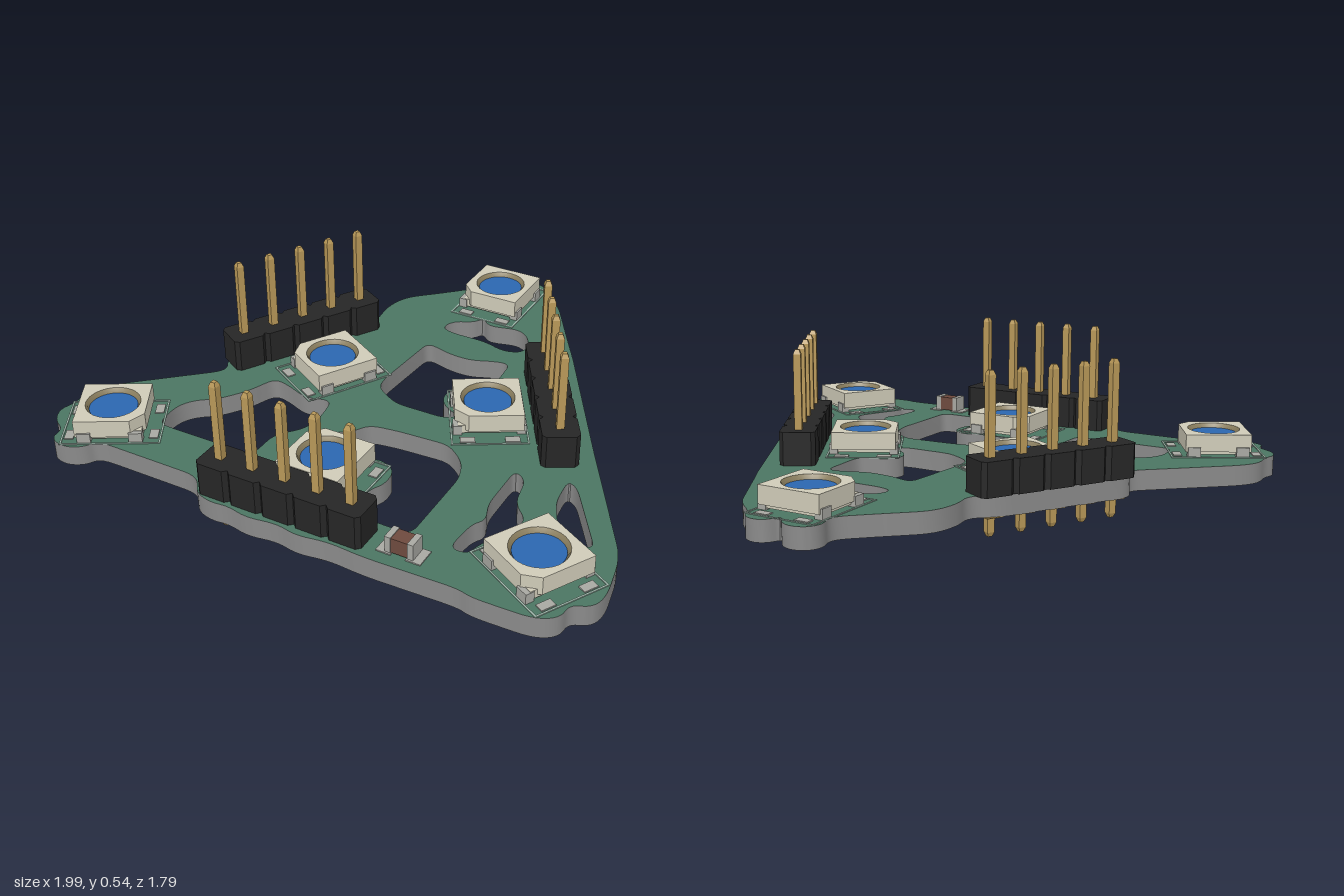
import * as THREE from 'three';
import { toCreasedNormals } from 'three/addons/utils/BufferGeometryUtils.js';

const mat = (color) => new THREE.MeshStandardMaterial({ color });
const M = {
  mask: mat(0x4b7562), edge: mat(0x8a8a8a), cream: mat(0xcfcbb8), rim: mat(0x8c8060), blue: mat(0x2b66b0),
  metal: mat(0xa8a8a2), black: mat(0x262626), gold: mat(0xb89858), brown: mat(0x6e4a3e), silk: mat(0x9db5a9),
};
const TOP = 0.142, THICK = 0.072;

// Board outline and cut-outs as x, z pairs
const OUTLINE = [
  0, -.84, -.03, -.89, -.08, -.91, -.13, -.89, -.15, -.84, -.12, -.77, -.2, -.69, -.35, -.55, -.37, -.44, -.35, -.35,
  -.43, -.29, -.56, -.06, -.69, .16, -.64, .22, -.95, .5, -.99, .57, -.98, .65, -1, .7, -.97, .76, -.91, .79, -.91, .85, -.84, .87,
  -.78, .84, -.76, .79, -.35, .79, -.31, .86, -.24, .88, -.18, .87, -.1, .89, 0, .87, .08, .89, .18, .87, .3, .88,
  .62, .87, .66, .885, .86, .88, .92, .84, .92, .78, .98, .76, 1, .7, .97, .52, .7, .06, .41, -.45, .36, -.53, .21, -.78,
  .13, -.84, .11, -.89, .06, -.91, .02, -.89,
];
const HOLES = [
  [0, -.555, .04, -.51, .16, -.54, .22, -.49, .24, -.4, .17, -.37, .08, -.4, -.06, -.4, -.11, -.42, -.09, -.48, -.02, -.51],
  [-.1, -.29, 0, -.26, .09, -.255, .17, -.29, .23, -.3, .24, -.12, .22, -.09, .14, -.07, .11, -.01, .14, .05, .22, .09,
    .18, .12, -.01, .12, -.11, .06, -.12, 0],
  [-.11, .45, -.12, .38, -.05, .34, -.02, .28, .08, .265, .27, .255, .35, .32, .38, .4, .38, .72, .16, .72, .16, .59, .19, .54,
    .18, .46, .11, .43, .06, .46],
  [-.46, .19, -.4, .2, -.3, .24, -.21, .21, -.19, .32, -.2, .4, -.27, .48, -.27, .61, -.65, .61, -.66, .5, -.63, .44, -.56, .39, -.5, .3],
  [.52, .28, .57, .31, .59, .43, .66, .5, .62, .59, .58, .67, .57, .72, .51, .72, .52, .59, .55, .55, .52, .48],
  [.69, .25, .73, .27, .89, .52, .83, .53, .75, .47, .7, .37],
];

function add(parent, name, geometry, material, x = 0, y = 0, z = 0) {
  const mesh = new THREE.Mesh(geometry, material);
  mesh.name = name;
  mesh.position.set(x, y, z);
  parent.add(mesh);
  return mesh;
}
const box = (w, h, d) => new THREE.BoxGeometry(w, h, d);

// Closed path whose corners are rounded by quadratic curves
function roundedPath(path, flat, radius) {
  const pts = [];
  for (let i = 0; i < flat.length; i += 2) pts.push(new THREE.Vector2(flat[i], flat[i + 1]));
  const n = pts.length;
  const toward = (a, b) => a.clone().lerp(b, Math.min(0.5, radius / a.distanceTo(b)));
  pts.forEach((p, i) => {
    const a = toward(p, pts[(i + n - 1) % n]), b = toward(p, pts[(i + 1) % n]);
    if (i === 0) path.moveTo(a.x, a.y); else path.lineTo(a.x, a.y);
    path.quadraticCurveTo(p.x, p.y, b.x, b.y);
  });
  path.closePath();
  return path;
}

// Plan shape in x, z extruded downwards from y = 0
function plate(shape, depth, curveSegments = 5) {
  const g = new THREE.ExtrudeGeometry(shape, { depth, bevelEnabled: false, curveSegments });
  g.rotateX(Math.PI / 2);
  return toCreasedNormals(g, 0.6);
}

function polygon(flat) {
  const s = new THREE.Shape();
  for (let i = 0; i < flat.length; i += 2) s[i ? 'lineTo' : 'moveTo'](flat[i], flat[i + 1]);
  s.closePath();
  return s;
}

// Square light with a round recessed lens, side contacts and a printed frame
function light(x, z, degrees) {
  const g = new THREE.Group();
  g.name = 'light';
  g.position.set(x, TOP, z);
  g.rotation.y = THREE.MathUtils.degToRad(degrees);
  const h = 0.115;
  const body = polygon([-h, -h, h, -h, h, h, -h + .045, h, -h, h - .045]);
  body.holes.push(new THREE.Path().absarc(0, 0, .092, 0, Math.PI * 2, true));
  add(g, 'lightBody', plate(body, .062, 16), M.cream, 0, .08, 0);
  add(g, 'lightBase', box(.21, .03, .21), M.cream, 0, .022, 0);
  const rim = new THREE.LatheGeometry([[.092, .08], [.08, .06], [.08, .045]].map((p) => new THREE.Vector2(...p)).reverse(), 32);
  const ring = add(g, 'lensRim', rim, M.rim.clone());
  ring.material.side = THREE.DoubleSide;
  add(g, 'lens', new THREE.CylinderGeometry(.081, .081, .03, 32), M.blue, 0, .05, 0);
  for (const sx of [-1, 1]) {
    for (const sz of [-1, 1]) {
      add(g, 'contact', box(.03, .035, .045), M.metal, sx * .107, .0175, sz * .085);
      add(g, 'solderPad', box(.05, .004, .03), M.metal, sx * .075, .002, sz * .14);
    }
    add(g, 'printedFrameSide', box(.006, .003, .33), M.silk, sx * .127, .0015, 0);
    add(g, 'printedFrameEnd', box(.26, .003, .006), M.silk, 0, .0015, sx * .163);
  }
  return g;
}

// Five-pin header made of chamfered blocks and square pins with tapered tips
function pinHeader(x, z, degrees) {
  const g = new THREE.Group();
  g.name = 'pinHeader';
  g.position.set(x, 0, z);
  g.rotation.y = THREE.MathUtils.degToRad(degrees);
  const p = .118, a = p / 2, b = .062, c = .014;
  const block = plate(polygon([-a + c, -b, a - c, -b, a, -b + c, a, b - c, a - c, b, -a + c, b, -a, b - c, -a, -b + c]), .117);
  const w = .013 * Math.SQRT2;
  const profile = [[0, 0], [w * .55, 0], [w, .015], [w, .523], [w * .55, .538], [0, .538]].map((q) => new THREE.Vector2(...q));
  const pin = toCreasedNormals(new THREE.LatheGeometry(profile, 4, Math.PI / 4), 0.2);
  for (let i = -2; i <= 2; i++) {
    add(g, 'headerBlock', block, M.black, i * p, .26, 0);
    add(g, 'pin', pin, M.gold, i * p, 0, 0);
    add(g, 'pinPad', box(.06, .003, .075), M.gold, i * p, TOP - THICK - .0005, 0);
  }
  return g;
}

export function createModel() {
  const model = new THREE.Group();
  model.name = 'circuitBoard';

  // Board with irregular openings
  const shape = roundedPath(new THREE.Shape(), OUTLINE, .06);
  HOLES.forEach((h) => shape.holes.push(roundedPath(new THREE.Path(), h, .04)));
  add(model, 'board', plate(shape, THICK), [M.mask, M.edge], 0, TOP, 0);

  // Six lights: x, z, turn
  [[-.005, -.705, 0], [-.305, .048, -30], [.305, .043, 30], [-.005, .578, -90], [-.78, .673, 120], [.78, .68, 60]]
    .forEach((l) => model.add(light(...l)));

  // One header along each side
  [[-.01, .8, 0], [-.508, -.075, 60], [.492, -.06, -60]].forEach((h) => model.add(pinHeader(...h)));

  // Small chip capacitor
  const cap = new THREE.Group();
  cap.name = 'capacitor';
  cap.position.set(.4, TOP, .8);
  add(cap, 'capacitorBody', box(.06, .052, .052), M.brown, 0, .03, 0);
  for (const s of [-1, 1]) {
    add(cap, 'capacitorEnd', box(.02, .058, .058), M.metal, s * .038, .03, 0);
    add(cap, 'capacitorPad', box(.05, .004, .07), M.metal, s * .05, .002, 0);
  }
  model.add(cap);
  return model;
}
